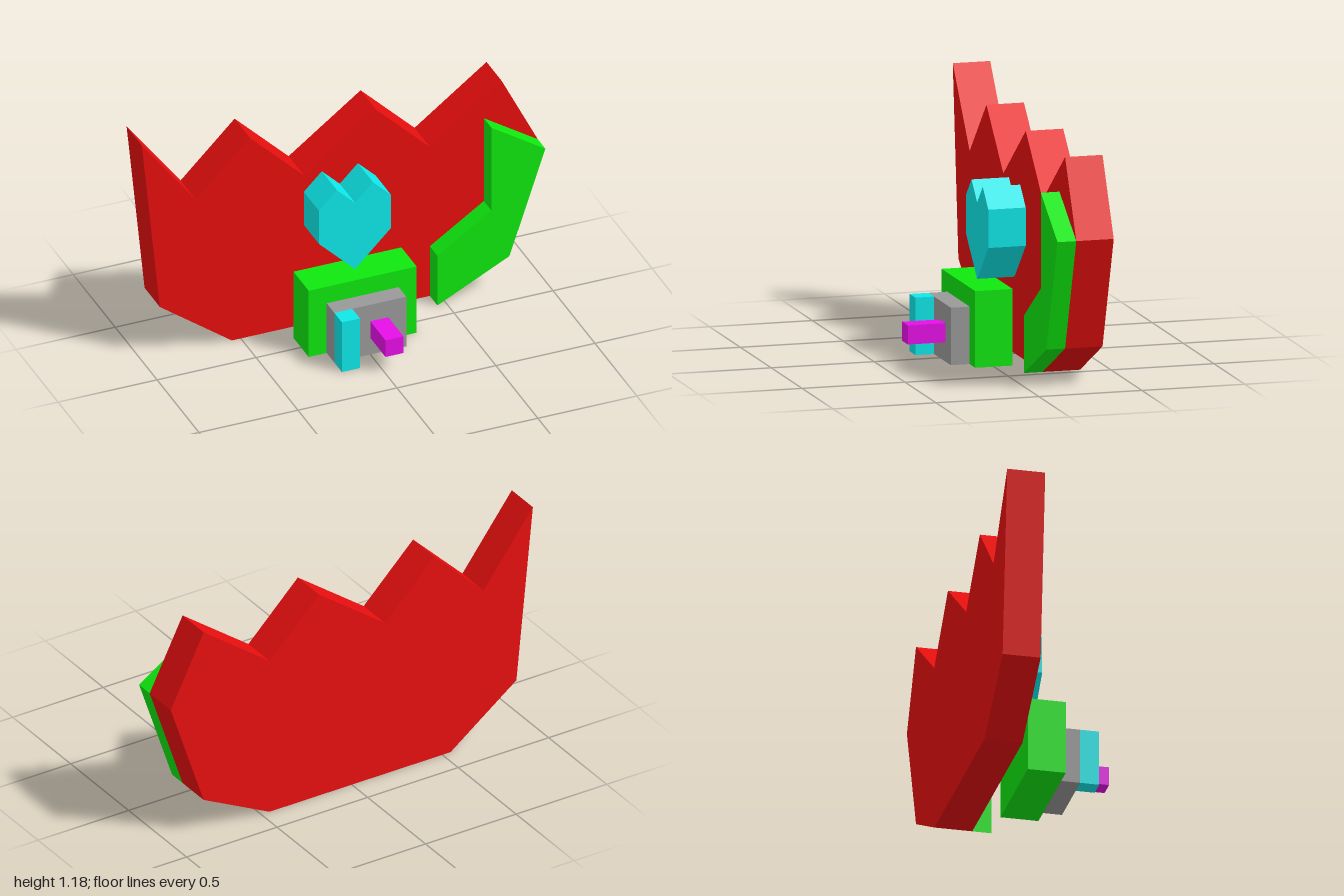
import * as THREE from 'three';

const U = 1 / 11; // layout grid unit
const mat = (name, color) => {
  const m = new THREE.MeshStandardMaterial({ color });
  m.name = name;
  return m;
};

export function createModel() {
  const group = new THREE.Group();
  const red = mat('red', 0xff1111);
  const green = mat('green', 0x11ff11);
  const cyan = mat('cyan', 0x11ffff);
  const magenta = mat('magenta', 0xff11ff);
  const gray = mat('gray', 0x999999);

  const add = (name, geometry, material) => {
    const mesh = new THREE.Mesh(geometry, material);
    mesh.name = name;
    group.add(mesh);
  };

  // Outline in grid units, extruded from z0 to z1
  const slab = (name, points, z0, z1, material) => {
    const shape = new THREE.Shape(points.map(([x, y]) => new THREE.Vector2(x * U, y * U)));
    const geometry = new THREE.ExtrudeGeometry(shape, { depth: (z1 - z0) * U, bevelEnabled: false });
    add(name, geometry.translate(0, 0, z0 * U), material);
  };

  // Box between two corners in grid units
  const block = (name, [x0, y0, z0], [x1, y1, z1], material) => {
    const geometry = new THREE.BoxGeometry((x1 - x0) * U, (y1 - y0) * U, (z1 - z0) * U);
    add(name, geometry.translate((x0 + x1) * U / 2, (y0 + y1) * U / 2, (z0 + z1) * U / 2), material);
  };

  // Jagged back wall
  slab('backWall', [
    [-6, 0], [5, 0], [9, 2], [11, 8], [9, 12], [5, 9],
    [2, 12], [-2, 9], [-5, 12], [-8, 9], [-11, 13], [-10, 3],
  ], -4, -2, red);

  // Raised panel along the left edge of the wall
  slab('sidePanel', [[5, 0], [9, 2], [11, 8], [8, 10], [8, 5], [5, 3]], -2, -1, green);

  // Heart on the wall
  slab('heart', [[0, 4], [2, 6], [2, 8], [1, 9], [0, 8], [-1, 9], [-2, 8], [-2, 6]], -2, 0, cyan);

  // Stacked blocks in front
  block('baseBlock', [-3, 0, -1], [3, 4, 1], green);
  block('frontPlate', [-2, 0, 1], [2, 3, 2], gray);
  block('uprightBar', [-2, 0, 2], [-1, 3, 3], cyan);
  block('peg', [0, 1, 2], [1, 2, 4], magenta);

  return group;
}
